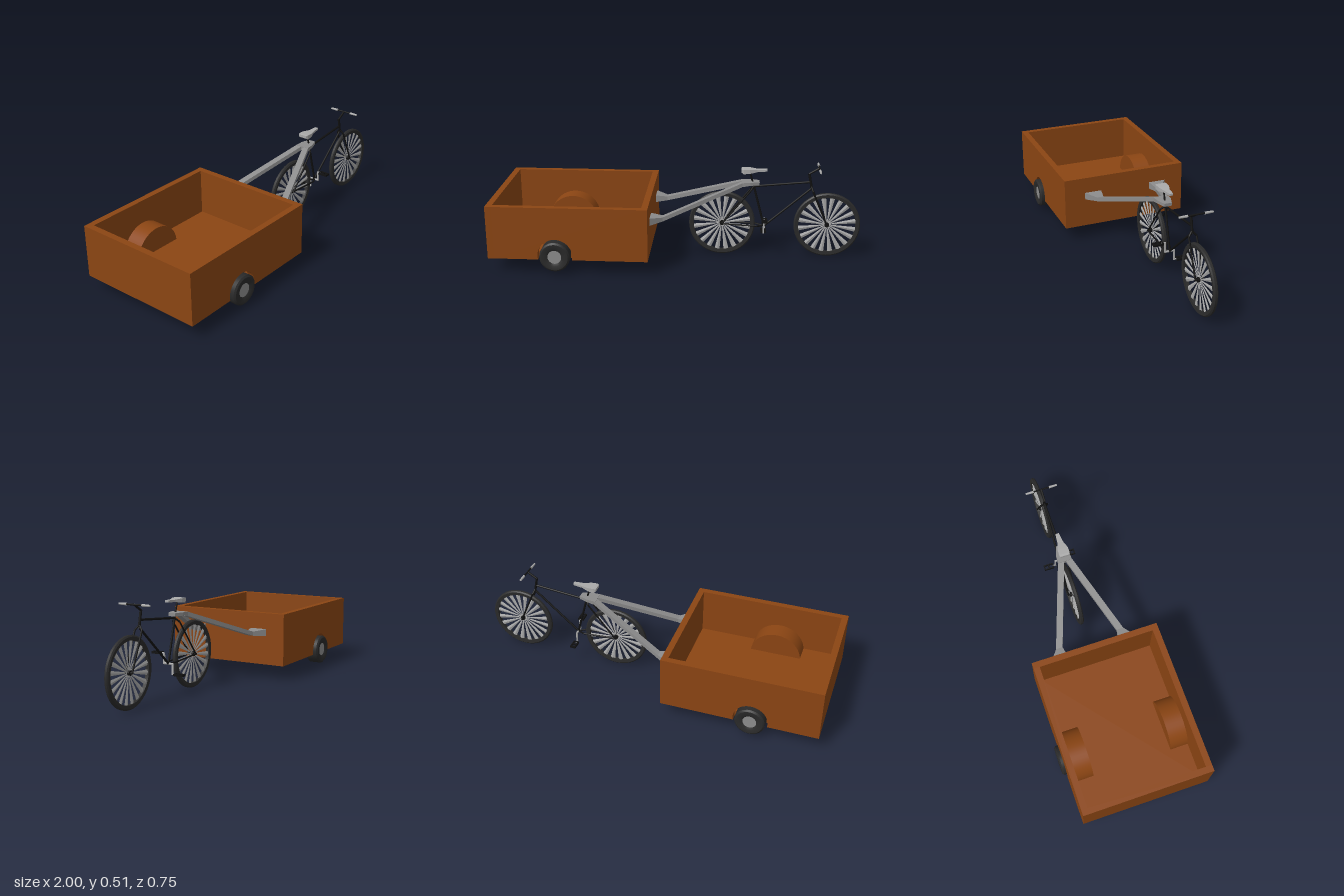
import * as THREE from 'three';
import { toCreasedNormals } from 'three/addons/utils/BufferGeometryUtils.js';

const paint = (color) => new THREE.MeshStandardMaterial({ color, side: THREE.DoubleSide });
const BROWN = paint(0x8b4513), BLACK = paint(0x111111), TYRE = paint(0x2a2a2a);
const STEEL = paint(0x8c8c8c), LIGHT = paint(0xaaaaaa);
const V = (x, y, z) => new THREE.Vector3(x, y, z);

function add(parent, name, geometry, material, x = 0, y = 0, z = 0) {
  const mesh = new THREE.Mesh(geometry, material);
  mesh.name = name;
  mesh.position.set(x, y, z);
  parent.add(mesh);
  return mesh;
}

function box(parent, name, material, x0, x1, y0, y1, z0, z1) {
  return add(parent, name, new THREE.BoxGeometry(x1 - x0, y1 - y0, z1 - z0), material,
    (x0 + x1) / 2, (y0 + y1) / 2, (z0 + z1) / 2);
}

// Straight round bar between two points
function rod(parent, name, a, b, r, material = BLACK, sides = 8, r2 = r) {
  const mesh = add(parent, name, new THREE.CylinderGeometry(r2, r, a.distanceTo(b), sides), material);
  mesh.position.copy(a).lerp(b, 0.5);
  mesh.quaternion.setFromUnitVectors(V(0, 1, 0), b.clone().sub(a).normalize());
  return mesh;
}

// Rectangular cross-sections along x: [x, centreZ, halfWidth, yLow, yHigh]
function loft(sections) {
  const rings = sections.map(([x, c, h, lo, hi]) =>
    [V(x, lo, c - h), V(x, lo, c + h), V(x, hi, c + h), V(x, hi, c - h)]);
  const pts = [];
  const quad = (a, b, c, d) => pts.push(a, b, c, a, c, d);
  for (let i = 0; i + 1 < rings.length; i++)
    for (let j = 0; j < 4; j++) {
      const k = (j + 1) % 4;
      quad(rings[i][j], rings[i + 1][j], rings[i + 1][k], rings[i][k]);
    }
  const f = rings[0], l = rings[rings.length - 1];
  quad(f[0], f[1], f[2], f[3]);
  quad(l[3], l[2], l[1], l[0]);
  const g = new THREE.BufferGeometry().setFromPoints(pts);
  g.computeVertexNormals();
  return g;
}

// Turned shape around the z axis from [radius, z] points
function turned(profile, segments) {
  const g = new THREE.LatheGeometry(profile.map(([r, z]) => new THREE.Vector2(r, z)), segments);
  return toCreasedNormals(g.rotateX(Math.PI / 2), 0.6);
}

function bikeWheel(name, x, y) {
  const wheel = new THREE.Group();
  wheel.name = name;
  wheel.position.set(x, y, 0);
  add(wheel, 'tyre', turned([[0.158, -0.01], [0.176, -0.012], [0.183, -0.006], [0.183, 0.006],
    [0.176, 0.012], [0.158, 0.01], [0.158, -0.01]], 40), TYRE);
  add(wheel, 'hub', new THREE.CylinderGeometry(0.013, 0.013, 0.024, 12).rotateX(Math.PI / 2), BLACK);
  add(wheel, 'axle', new THREE.CylinderGeometry(0.005, 0.005, 0.05, 8).rotateX(Math.PI / 2), BLACK);
  // Spokes widen towards the rim
  const spoke = new THREE.CylinderGeometry(0.014, 0.002, 0.15, 4).translate(0, 0.085, 0).scale(1, 1, 0.35);
  for (let i = 0; i < 20; i++)
    add(wheel, 'spoke', toCreasedNormals(spoke, 0.3), LIGHT).rotation.z = (i + 0.5) * Math.PI / 10;
  return wheel;
}

function makeTrailer() {
  const g = new THREE.Group();
  g.name = 'trailer';
  const x0 = -1, x1 = -0.145, y0 = 0.081, y1 = 0.371, w = 0.356, t = 0.034;
  const cx = -0.638, cy = 0.102;
  box(g, 'floor', BROWN, x0 + t, x1 - t, y0, y0 + t, -w + t, w - t);
  box(g, 'rearWall', BROWN, x0, x0 + t, y0, y1, -w, w);
  box(g, 'frontWall', BROWN, x1 - t, x1, y0, y1, -w, w);

  // Side wall with a wheel arch cut from its lower edge
  const R = 0.093, a = Math.asin((y0 - cy) / R);
  const wall = new THREE.Shape();
  wall.moveTo(x0 + t, y0);
  wall.lineTo(cx - R * Math.cos(a), y0);
  wall.absarc(cx, cy, R, Math.PI - a, a, true);
  wall.lineTo(x1 - t, y0);
  wall.lineTo(x1 - t, y1);
  wall.lineTo(x0 + t, y1);
  const wallGeo = new THREE.ExtrudeGeometry(wall, { depth: t, bevelEnabled: false, curveSegments: 24 });

  for (const s of [1, -1]) {
    add(g, 'sideWall', wallGeo, BROWN, 0, 0, s > 0 ? w - t : -w);
    // Half-round wheel housing inside the box
    const shell = new THREE.CylinderGeometry(0.142, 0.142, 0.1, 24, 1, true, -Math.PI / 2, Math.PI);
    shell.rotateX(-Math.PI / 2);
    add(g, 'wheelHousing', shell, BROWN, cx, cy, s * 0.272);
    add(g, 'housingFace', new THREE.CircleGeometry(0.142, 24, 0, Math.PI), BROWN, cx, cy, s * 0.222);
    const wheel = new THREE.Group();
    wheel.name = 'trailerWheel';
    wheel.position.set(cx, cy, s * 0.3395);
    add(wheel, 'tyre', turned([[0.036, -0.03], [0.05, -0.0375], [0.072, -0.0375], [0.081, -0.03],
      [0.081, 0.03], [0.072, 0.0375], [0.05, 0.0375], [0.036, 0.03]], 32), TYRE);
    add(wheel, 'hub', new THREE.CylinderGeometry(0.037, 0.037, 0.062, 24).rotateX(Math.PI / 2), STEEL);
    g.add(wheel);
    // Drawbar arm flaring into its mounting bracket
    add(g, 'drawbarArm', loft([[-0.145, s * 0.195, 0.048, 0.242, 0.282], [-0.08, s * 0.177, 0.019, 0.25, 0.273],
      [0.345, s * 0.022, 0.018, 0.402, 0.425]]), STEEL, 0, 0, -0.005);
  }
  add(g, 'hitchPlate', loft([[0.34, 0, 0.04, 0.402, 0.425], [0.39, 0, 0.037, 0.41, 0.427],
    [0.44, 0, 0.02, 0.41, 0.427]]), STEEL, 0, 0, -0.005);
  return g;
}

function makeBicycle() {
  const g = new THREE.Group();
  g.name = 'bicycle';
  g.position.z = -0.003;
  const rear = V(0.237, 0.183, 0), front = V(0.817, 0.183, 0);
  const crank = V(0.47, 0.168, 0), seatJoint = V(0.409, 0.398, 0);
  g.add(bikeWheel('rearWheel', rear.x, rear.y), bikeWheel('frontWheel', front.x, front.y));

  // Frame tubes
  rod(g, 'seatTube', crank, seatJoint, 0.006);
  rod(g, 'seatPost', seatJoint, V(0.385, 0.482, 0), 0.005);
  rod(g, 'topTube', seatJoint, V(0.715, 0.428, 0), 0.006);
  rod(g, 'downTube', crank, V(0.722, 0.39, 0), 0.006);
  rod(g, 'headTube', V(0.708, 0.475, 0), V(0.724, 0.395, 0), 0.007);
  rod(g, 'stem', V(0.708, 0.474, 0), V(0.762, 0.507, 0), 0.006);
  for (const s of [1, -1]) {
    const z = s * 0.021;
    rod(g, 'forkCrown', V(0.722, 0.404, 0), V(0.732, 0.378, z), 0.005);
    rod(g, 'forkBlade', V(0.732, 0.378, z), V(front.x, front.y, z), 0.005);
    rod(g, 'stayBridge', seatJoint, V(0.392, 0.376, z), 0.005);
    rod(g, 'seatStay', V(0.392, 0.376, z), V(rear.x, rear.y, z), 0.0045);
    rod(g, 'chainStay', V(rear.x, rear.y, z), V(crank.x - 0.04, 0.172, z), 0.0045);
    rod(g, 'chainStayEnd', V(crank.x - 0.04, 0.172, z), crank, 0.0045);
    rod(g, 'grip', V(0.762, 0.507, s * 0.045), V(0.762, 0.507, s * 0.091), 0.007, LIGHT, 12, 0.0055);

    // Crank arm and open pedal, one up and one down
    const y = crank.y + s * 0.053, ends = [crank.y, y].sort((a, b) => a - b);
    box(g, 'crankArm', LIGHT, 0.466, 0.474, ends[0] - 0.003, ends[1] + 0.003, s * 0.026 - 0.004, s * 0.026 + 0.004);
    rod(g, 'pedalAxle', V(crank.x, y, s * 0.026), V(crank.x, y, s * 0.045), 0.004, LIGHT);
    const pedal = new THREE.Shape([[-0.016, -0.028], [0.016, -0.028], [0.016, 0.028], [-0.016, 0.028]]
      .map(([px, py]) => new THREE.Vector2(px, py)));
    for (const c of [-0.013, 0.013])
      pedal.holes.push(new THREE.Path([[-0.01, c - 0.009], [-0.01, c + 0.009], [0.01, c + 0.009], [0.01, c - 0.009]]
        .map(([px, py]) => new THREE.Vector2(px, py))));
    const pedalGeo = new THREE.ExtrudeGeometry(pedal, { depth: 0.011, bevelEnabled: false });
    add(g, 'pedal', pedalGeo.translate(0, 0, -0.0055).rotateX(Math.PI / 2), BLACK, crank.x, y, s * 0.066);
  }
  rod(g, 'handlebar', V(0.762, 0.507, -0.09), V(0.762, 0.507, 0.09), 0.0045);
  rod(g, 'crankAxle', V(crank.x, crank.y, -0.028), V(crank.x, crank.y, 0.028), 0.006, LIGHT);

  // Saddle, wide at the back with a thin nose
  add(g, 'saddle', loft([[0.34, 0, 0.026, 0.482, 0.497], [0.352, 0, 0.03, 0.474, 0.499],
    [0.385, 0, 0.029, 0.476, 0.498], [0.425, 0, 0.016, 0.483, 0.495], [0.48, 0, 0.01, 0.486, 0.497]]), LIGHT);
  return g;
}

export function createModel() {
  const model = new THREE.Group();
  model.name = 'bicycleWithTrailer';
  model.add(makeTrailer(), makeBicycle());
  return model;
}
